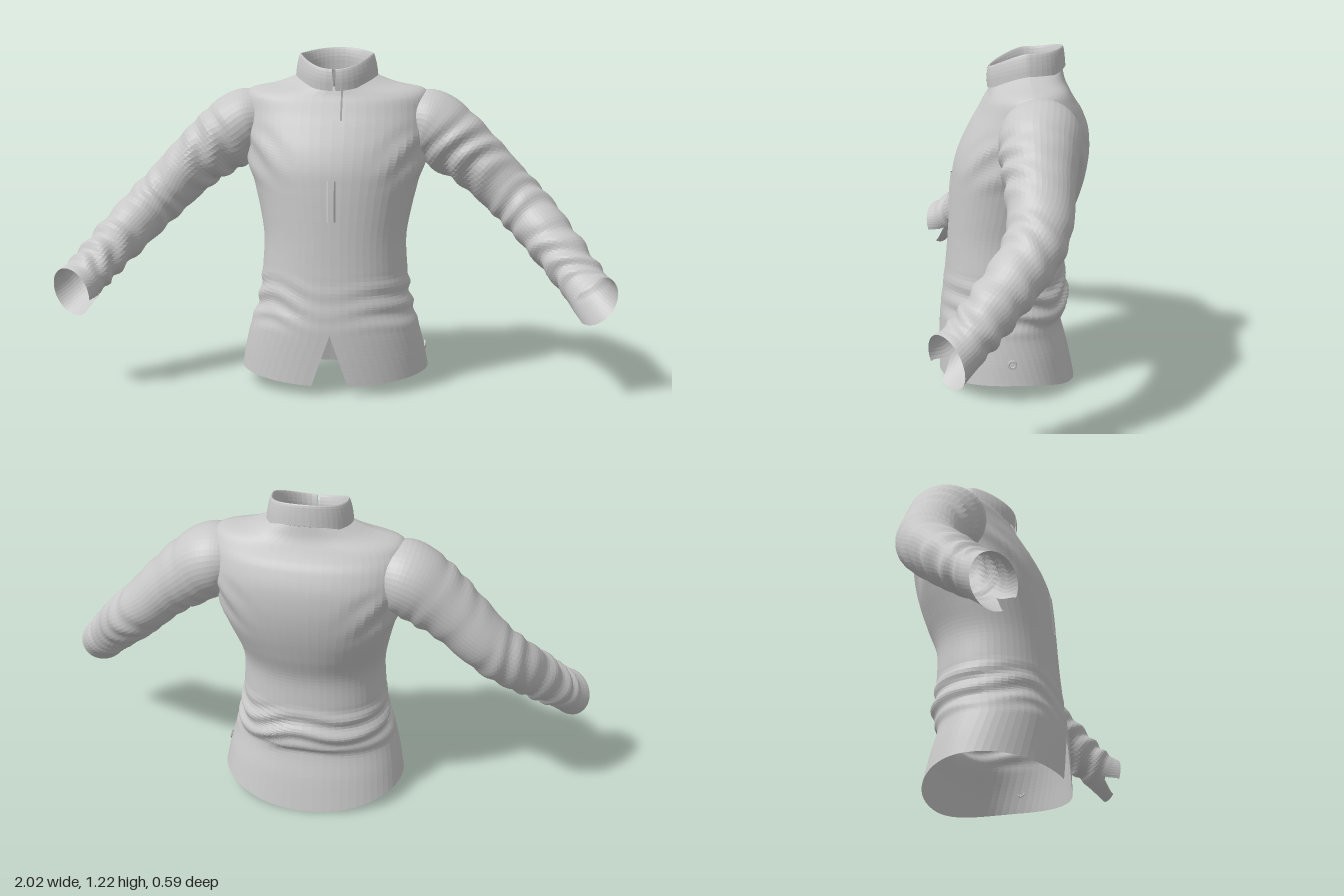
import * as THREE from 'three';

const fabric = new THREE.MeshStandardMaterial({ color: 0xc8c8c8, flatShading: true, side: THREE.DoubleSide });
fabric.name = 'light grey fabric';

const V = (x, y, z) => new THREE.Vector3(x, y, z);
const step = THREE.MathUtils.smoothstep;
const bump = (x, lo, hi, soft) => step(x, lo - soft, lo + soft) * (1 - step(x, hi - soft, hi + soft));

// Sheet of quads from fn(u, v) -> Vector3
function sheet(name, nu, nv, fn, flip = false) {
  const pos = [], idx = [];
  for (let j = 0; j <= nv; j++)
    for (let i = 0; i <= nu; i++) pos.push(...fn(i / nu, j / nv).toArray());
  for (let j = 0; j < nv; j++)
    for (let i = 0; i < nu; i++) {
      const a = j * (nu + 1) + i, b = a + 1, c = a + nu + 1, d = c + 1;
      if (flip) idx.push(a, c, b, b, c, d);
      else idx.push(a, b, c, b, d, c);
    }
  const g = new THREE.BufferGeometry();
  g.setAttribute('position', new THREE.Float32BufferAttribute(pos, 3));
  g.setIndex(idx);
  g.computeVertexNormals();
  const m = new THREE.Mesh(g, fabric);
  m.name = name;
  return m;
}

// Rows: [front y, side y, back y, half width, front z, back z, front gap]
// The powers make the section pointed (above 1) or square (below 1) by height.
function rings(rows, frontPower, backPower) {
  const curve = (f) => new THREE.CatmullRomCurve3(rows.map(f), false, 'catmullrom', 0.5);
  const heights = curve(r => V(r[0], r[1], r[2]));
  const sizes = curve(r => V(r[3], r[4], r[5]));
  const gaps = curve(r => V(r[6] || 0, 0, 0));
  return (u, t) => {
    const h = heights.getPoint(t), s = sizes.getPoint(t);
    const gap = Math.asin(Math.max(0, gaps.getPoint(t).x) / s.x);
    const a = gap + u * (Math.PI * 2 - gap * 2);
    const sn = Math.sin(a), c = Math.cos(a), mid = (s.y + s.z) / 2, half = (s.y - s.z) / 2;
    const y = h.y + ((c > 0 ? h.x : h.z) - h.y) * c * c;
    const k = Math.pow(Math.abs(c), c > 0 ? frontPower(h.y) : backPower(h.y));
    return V(s.x * Math.sign(sn) * Math.pow(Math.abs(sn), 0.92), y, mid + Math.sign(c) * half * k);
  };
}

const bodyRows = [
  [0.035, 0.06, 0.0, 0.345, 0.245, -0.26, 0.056],
  [0.13, 0.14, 0.12, 0.33, 0.243, -0.235, 0.026],
  [0.22, 0.22, 0.22, 0.31, 0.24, -0.21, 0],
  [0.27, 0.27, 0.26, 0.295, 0.236, -0.225],
  [0.30, 0.30, 0.30, 0.285, 0.232, -0.236],
  [0.36, 0.36, 0.36, 0.275, 0.225, -0.23],
  [0.45, 0.45, 0.45, 0.265, 0.215, -0.222],
  [0.55, 0.55, 0.55, 0.262, 0.207, -0.225],
  [0.65, 0.65, 0.65, 0.28, 0.2, -0.26],
  [0.73, 0.73, 0.73, 0.30, 0.193, -0.285],
  [0.80, 0.80, 0.80, 0.32, 0.183, -0.30],
  [0.87, 0.87, 0.87, 0.335, 0.16, -0.306],
  [0.94, 0.94, 0.94, 0.345, 0.125, -0.30],
  [0.99, 1.0, 1.0, 0.345, 0.095, -0.278],
  [1.03, 1.05, 1.035, 0.34, 0.073, -0.255],
  [1.055, 1.082, 1.07, 0.315, 0.058, -0.235],
  [1.075, 1.103, 1.105, 0.22, 0.05, -0.219],
  [1.09, 1.13, 1.145, 0.146, 0.045, -0.21],
];
const bodyAt = rings(bodyRows,
  y => 0.95 + 0.5 * step(y, 1.05, 1.12),
  y => 0.9 - 0.25 * bump(y, 0.66, 1.07, 0.08));

const collarRows = [
  [1.075, 1.115, 1.155, 0.153, 0.06, -0.221, 0.004],
  [1.115, 1.16, 1.19, 0.148, 0.062, -0.218, 0.004],
  [1.147, 1.2, 1.22, 0.138, 0.057, -0.213, 0.005],
  [1.15, 1.203, 1.222, 0.13, 0.049, -0.206, 0.004],
  [1.12, 1.165, 1.19, 0.122, 0.038, -0.198, 0.002],
  [1.08, 1.12, 1.14, 0.125, 0.036, -0.198, 0.002],
];
const collarAt = rings(collarRows, () => 1.45, () => 0.9);

// Folds of cloth at the waist and below the armpits
function wrinkledBody(u, t) {
  const p = bodyAt(u, t);
  const side = Math.min(1, Math.abs(p.x) / 0.25), back = p.z < 0 ? 1 : 0.15;
  const waist = bump(p.y, 0.25, 0.4, 0.05) * Math.max(side * 0.7, back);
  const chest = bump(p.y, 0.76, 0.92, 0.05) * Math.pow(side, 4);
  const wave = Math.sin(p.y * 85 + p.x * 9 + Math.sin(p.x * 15 + p.z * 9) * 2);
  const d = 0.007 * waist * wave + 0.006 * chest * Math.sin(p.y * 45 - Math.abs(p.x) * 50);
  return p.addScaledVector(V(p.x, 0, p.z).normalize(), d);
}

// Sleeve path: x, y, z, radius up, radius across
const sleeveRows = [
  [0.24, 0.965, -0.105, 0.085, 0.10],
  [0.33, 0.952, -0.105, 0.127, 0.14],
  [0.42, 0.892, -0.095, 0.126, 0.134],
  [0.52, 0.813, -0.088, 0.109, 0.118],
  [0.62, 0.715, -0.08, 0.10, 0.108],
  [0.70, 0.635, -0.045, 0.095, 0.102],
  [0.775, 0.553, 0.028, 0.089, 0.095],
  [0.85, 0.463, 0.115, 0.08, 0.088],
  [0.90, 0.40, 0.182, 0.076, 0.087],
  [0.932, 0.36, 0.23, 0.083, 0.094],
];

function sleeve(name, side) {
  const path = new THREE.CatmullRomCurve3(sleeveRows.map(r => V(r[0], r[1], r[2])));
  const radii = new THREE.CatmullRomCurve3(sleeveRows.map(r => V(r[3], r[4], 0)), false, 'catmullrom', 0.5);
  const slitAt = Math.PI * 0.7, seed = side > 0 ? 0 : 2.1;
  return sheet(name, 40, 90, (u, t) => {
    const c = path.getPoint(t), T = path.getTangent(t), r = radii.getPoint(t);
    const U = V(0, 1, 0).addScaledVector(T, -T.y).normalize(), S = T.clone().cross(U);
    // slit that opens towards the end of the cuff
    const gap = 0.38 * step(t, 0.9, 1);
    const a = slitAt + gap + u * (Math.PI * 2 - gap * 2);
    // slanting folds around the shoulder, elbow and forearm
    const inner = 0.5 + 0.5 * Math.cos(a - Math.PI * 0.65);
    const amount = bump(t, 0.19, 0.38, 0.06) * (0.1 + inner)
      + bump(t, 0.46, 0.62, 0.05) * 0.6 + bump(t, 0.66, 0.87, 0.04) * 0.9;
    const fold = Math.sin(t * 80 + Math.sin(a + seed) * 2.4 + Math.sin(a * 2 + t * 14 + seed) * 1.3);
    const d = 0.007 * amount * fold;
    const p = c.addScaledVector(U, Math.cos(a) * (r.x + d)).addScaledVector(S, Math.sin(a) * (r.y + d));
    // underside of the cuff hangs a little longer
    p.addScaledVector(T, -0.035 * Math.cos(a) * step(t, 0.88, 1));
    p.x *= side;
    return p;
  }, side < 0);
}

// Raised strip of the front closure between two body rows
function placket(name, from, to, x0, x1) {
  const last = bodyRows.length - 1;
  return sheet(name, 4, 14, (u, v) => {
    const p = bodyAt(0, (from + (to - from) * v) / last);
    const lift = u === 0 || u === 1 ? -0.004 : 0.005;
    return V(x0 + (x1 - x0) * u, p.y, p.z + lift);
  });
}

export function createModel() {
  const jacket = new THREE.Group();
  jacket.name = 'jacket';
  jacket.add(sheet('body', 60, 110, wrinkledBody));
  jacket.add(sheet('collar', 44, 14, collarAt));
  jacket.add(sleeve('leftSleeve', 1), sleeve('rightSleeve', -1));
  jacket.add(placket('upperPlacket', 12.6, 17, -0.004, 0.036));
  jacket.add(placket('lowerPlacket', 7.7, 9.5, -0.018, 0.022));

  // small fastening on the left side of the hem
  const eyelet = new THREE.Mesh(new THREE.TorusGeometry(0.013, 0.004, 6, 12), fabric);
  eyelet.name = 'hemEyelet';
  eyelet.position.set(0.334, 0.135, -0.01);
  eyelet.rotation.y = Math.PI / 2;
  jacket.add(eyelet);
  return jacket;
}
